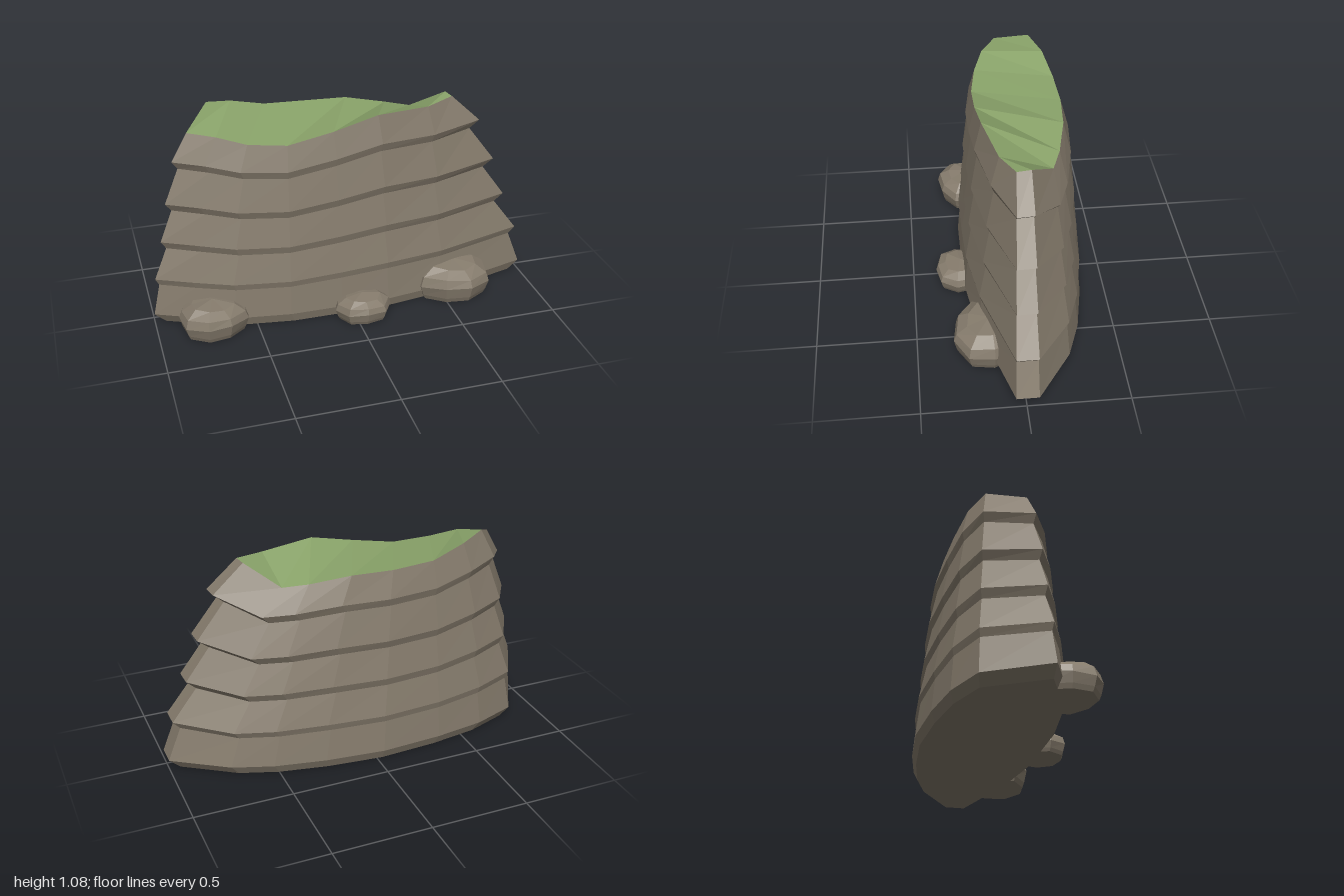
import * as THREE from 'three';

const rockMat = new THREE.MeshStandardMaterial({ color: 0x857b6c, flatShading: true });
rockMat.name = 'rock';
const grassMat = new THREE.MeshStandardMaterial({ color: 0x8aa46a, flatShading: true });
grassMat.name = 'grass';

// Outline stations, counterclockwise from above: foot x, foot z, rim x, rim z, rim height
const stations = [
  [-1, 0.05, -0.77, -0.01, 1.0], [-0.82, 0.13, -0.64, 0.07, 0.995],
  [-0.62, 0.2, -0.5, 0.12, 0.96], [-0.33, 0.24, -0.31, 0.15, 0.945],
  [-0.06, 0.24, -0.08, 0.15, 0.99], [0.19, 0.235, 0.15, 0.135, 1.045],
  [0.5, 0.19, 0.43, 0.075, 1.035], [1, 0.05, 0.58, 0.01, 1.05],
  [1, -0.06, 0.57, -0.06, 1.05], [0.73, -0.24, 0.42, -0.18, 0.945],
  [0.53, -0.31, 0.3, -0.225, 0.96], [0.27, -0.36, 0.1, -0.27, 0.99],
  [-0.03, -0.39, -0.11, -0.285, 0.99], [-0.35, -0.37, -0.33, -0.275, 1.0],
  [-0.61, -0.33, -0.51, -0.24, 1.05], [-0.83, -0.25, -0.64, -0.18, 1.08],
];
const N = stations.length;

// Strata: height fraction and how far the outline has moved from foot to rim
const strata = [
  [0.05, 0], [0.215, 0.16], [0.25, 0.08], [0.41, 0.38], [0.45, 0.27],
  [0.61, 0.56], [0.65, 0.43], [0.825, 0.76], [0.865, 0.64], [1, 1],
];

function mesh(name, points, index, material) {
  const g = new THREE.BufferGeometry();
  g.setAttribute('position', new THREE.Float32BufferAttribute(points.flat(), 3));
  g.setIndex(index);
  g.computeVertexNormals();
  const m = new THREE.Mesh(g, material);
  m.name = name;
  return m;
}

// Triangles spanning a ring, front point i joined to back point N-1-i
function capIndex(start, flip) {
  const out = [];
  for (let i = 0; i < N / 2 - 1; i++) {
    const a = start + i, b = a + 1, d = start + N - 1 - i, c = d - 1;
    out.push(...(flip ? [a, c, b, a, d, c] : [a, b, c, a, c, d]));
  }
  return out;
}

// Side walls between successive rings of n points
function wallIndex(rings, n) {
  const out = [];
  for (let r = 0; r < rings - 1; r++) {
    for (let i = 0; i < n; i++) {
      const a = r * n + i, b = r * n + (i + 1) % n;
      out.push(a, b, b + n, a, b + n, a + n);
    }
  }
  return out;
}

// Low boulder with a flat base, narrow crown and irregular sides
function boulder(x, z, rx, rz, h, seed) {
  const sides = 9;
  const profile = [[0, 0.86], [0.14, 0.92], [0.45, 1], [0.7, 0.92], [0.9, 0.62]];
  const pts = [];
  profile.forEach(([f, r], k) => {
    for (let i = 0; i < sides; i++) {
      const a = -(i + seed * 0.37) / sides * Math.PI * 2;
      const wobble = 1 + 0.05 * Math.sin(i * 2.3 + seed * 1.7);
      const lift = k > 1 ? 0.04 * Math.sin(i * 1.7 + seed + k) : 0;
      pts.push([x + Math.cos(a) * rx * r * wobble, h * (f + lift), z + Math.sin(a) * rz * r * wobble]);
    }
  });
  const index = wallIndex(profile.length, sides);
  const top = pts.length;
  pts.push([x, h, z], [x, 0, z]);
  for (let i = 0; i < sides; i++) {
    const j = (i + 1) % sides;
    index.push(top - sides + i, top - sides + j, top, j, i, top + 1);
  }
  return mesh('boulder', pts, index, rockMat);
}

export function createModel() {
  const group = new THREE.Group();
  group.name = 'cliff';

  // Cliff body: tucked-in foot, then overhanging strata up to the rim
  const points = stations.map(([x, z]) => [x * 0.945, 0, z * 0.945]);
  for (const [f, t] of strata) {
    for (const [bx, bz, tx, tz, h] of stations) {
      points.push([bx + (tx - bx) * t, f === 0.05 ? f : f * h, bz + (tz - bz) * t]);
    }
  }
  const walls = [...wallIndex(strata.length + 1, N), ...capIndex(0, true)];
  group.add(mesh('rockWalls', points, walls, rockMat));

  // Grass spanning the rim
  const rim = stations.map(([, , x, z, h]) => [x, h, z]);
  group.add(mesh('grassTop', rim, capIndex(0, false), grassMat));

  // Boulders at the front foot
  group.add(boulder(-0.72, 0.165, 0.178, 0.168, 0.165, 1));
  group.add(boulder(0.04, 0.25, 0.148, 0.135, 0.125, 2));
  group.add(boulder(0.57, 0.14, 0.205, 0.185, 0.185, 3));
  return group;
}
